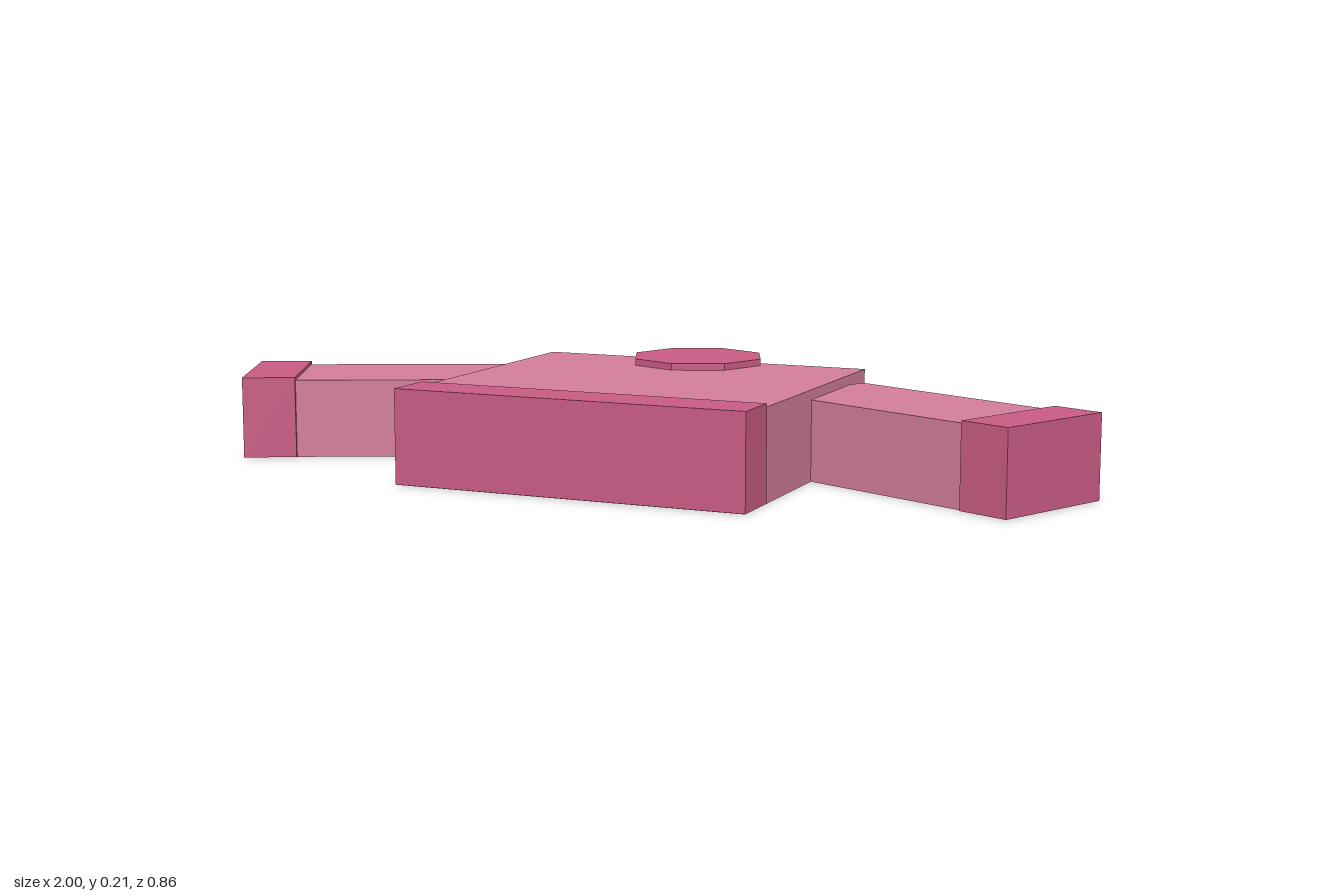
import * as THREE from 'three';

export function createModel() {
  const model = new THREE.Group();
  model.name = 'sweater';

  const knit = new THREE.MeshStandardMaterial({ color: 0xd27c9b });
  knit.name = 'light pink knit';
  const trim = new THREE.MeshStandardMaterial({ color: 0xc75b84 });
  trim.name = 'deep pink trim';

  // Box spanning x0..x1, y0..y1, z0..z1
  function block(name, material, parent, [x0, x1], [y0, y1], [z0, z1]) {
    const mesh = new THREE.Mesh(new THREE.BoxGeometry(x1 - x0, y1 - y0, z1 - z0), material);
    mesh.position.set((x0 + x1) / 2, (y0 + y1) / 2, (z0 + z1) / 2);
    mesh.name = name;
    parent.add(mesh);
  }

  // Body, with the hem band wrapped just outside its front end
  block('body', knit, model, [-0.392, 0.392], [0, 0.197], [-0.315, 0.429]);
  block('hem', trim, model, [-0.394, 0.394], [0.001, 0.205], [0.315, 0.432]);

  // Octagonal collar
  const collarGeometry = new THREE.CylinderGeometry(0.155, 0.155, 0.212, 8).toNonIndexed();
  collarGeometry.computeVertexNormals();
  const collar = new THREE.Mesh(collarGeometry, trim);
  collar.position.set(0, 0.106, -0.277);
  collar.name = 'collar';
  model.add(collar);

  // Sleeves swept forward, each ending in a wider cuff
  for (const side of [1, -1]) {
    const arm = new THREE.Group();
    arm.name = side > 0 ? 'leftArm' : 'rightArm';
    arm.rotation.y = -side * THREE.MathUtils.degToRad(25);
    const span = (a, b) => (side > 0 ? [a, b] : [-b, -a]);
    block('sleeve', knit, arm, span(0.266, 0.9), [0, 0.175], [-0.4, -0.126]);
    block('cuff', trim, arm, span(0.794, 0.912), [0.001, 0.182], [-0.409, -0.116]);
    model.add(arm);
  }

  return model;
}
